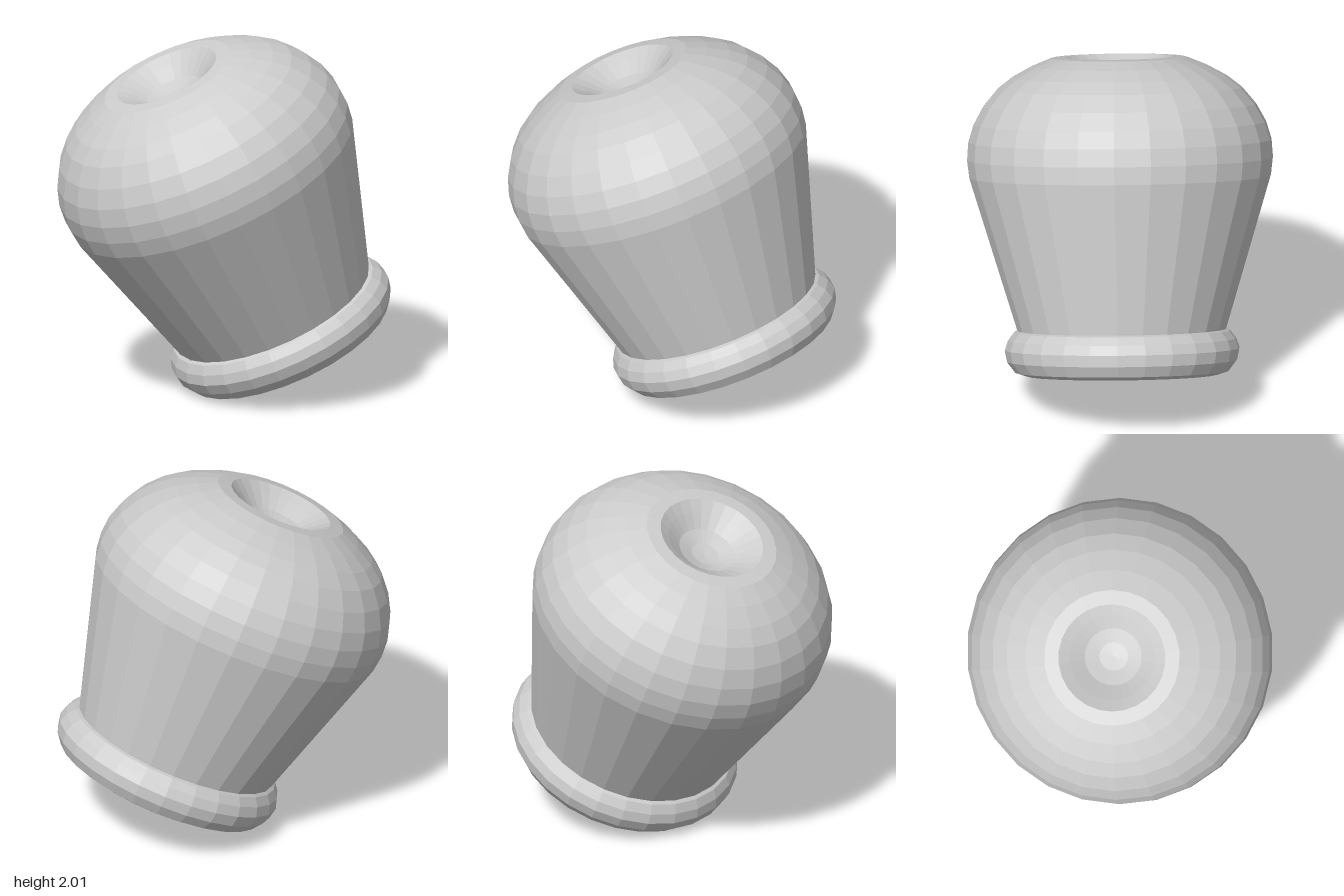
import * as THREE from 'three';

const SIDES = 26;
const material = new THREE.MeshStandardMaterial({ color: 0xcccccc, flatShading: true, side: THREE.DoubleSide });

// Lathe around the mushroom's own axis; profile runs from bottom to top as [radius, height]
function turned(name, profile) {
  const points = profile.map(([r, h]) => new THREE.Vector2(r, h));
  const mesh = new THREE.Mesh(new THREE.LatheGeometry(points, SIDES), material);
  mesh.name = name;
  return mesh;
}

export function createModel() {
  const model = new THREE.Group();
  model.name = 'tiltedKnob';

  // Flared body with a domed head and a dimple in the crown
  model.add(turned('body', [
    [0.56, 0.05], [0.587, 0.13], [0.845, 0.98], [0.857, 1.08], [0.85, 1.18], [0.82, 1.28],
    [0.765, 1.38], [0.685, 1.475], [0.6, 1.54], [0.49, 1.6], [0.38, 1.645], [0.3, 1.65],
    [0.24, 1.61], [0.16, 1.55], [0.08, 1.52], [0, 1.51],
  ]));

  // Rounded collar around the foot
  model.add(turned('collar', [
    [0.5, -0.095], [0.54, -0.13], [0.6, -0.11], [0.645, -0.05], [0.658, 0.015],
    [0.64, 0.07], [0.605, 0.115], [0.57, 0.13],
  ]));

  // Flat underside set just inside the collar
  model.add(turned('base', [[0, -0.095], [0.505, -0.095]]));

  // Lean the whole piece to its right and slightly forward
  const axis = new THREE.Vector3(-0.375, 0.91, 0.17).normalize();
  model.quaternion.setFromUnitVectors(new THREE.Vector3(0, 1, 0), axis);
  model.position.set(0.308, 0.345, -0.18);

  const group = new THREE.Group();
  group.add(model);
  return group;
}
